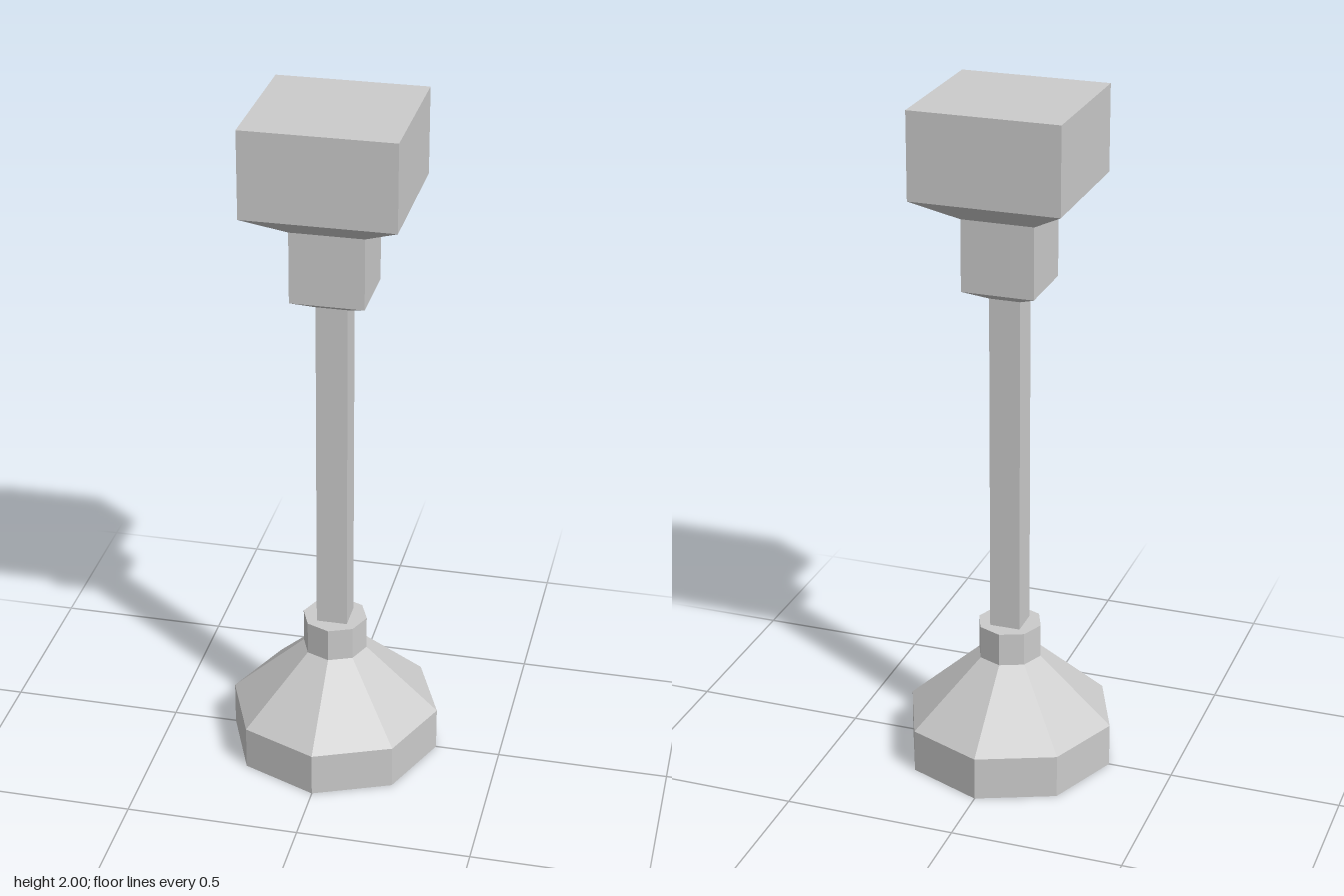
import * as THREE from 'three';

const material = new THREE.MeshStandardMaterial({ color: 0xcccccc, flatShading: true });

// Faceted solid from a [radius, height] profile running from bottom to top
function turned(name, profile, sides, phiStart = 0, scale = 1) {
  const points = profile.map(([r, y]) => new THREE.Vector2(r * scale, y));
  const mesh = new THREE.Mesh(new THREE.LatheGeometry(points, sides, phiStart), material);
  mesh.name = name;
  return mesh;
}

// Square section: profile radii are half-widths
const square = (name, profile) => turned(name, profile, 4, Math.PI / 4, Math.SQRT2);

export function createModel() {
  const group = new THREE.Group();
  group.name = 'post';

  // Octagonal foot, with a recess and central plug underneath, and a collar on top
  group.add(turned('base', [
    [0, 0.02], [0.085, 0.02], [0.13, 0.1], [0.16, 0.11], [0.235, 0],
    [0.31, 0], [0.31, 0.13], [0.095, 0.325], [0.095, 0.425], [0, 0.425],
  ], 8));

  // Square shaft
  group.add(square('shaft', [[0.045, 0.4], [0.045, 1.44]]));

  // Stepped square neck and head
  group.add(square('neck', [[0, 1.437], [0.045, 1.437], [0.105, 1.47], [0.105, 1.678]]));
  group.add(square('head', [[0.105, 1.678], [0.215, 1.75], [0.215, 2], [0, 2]]));

  return group;
}
